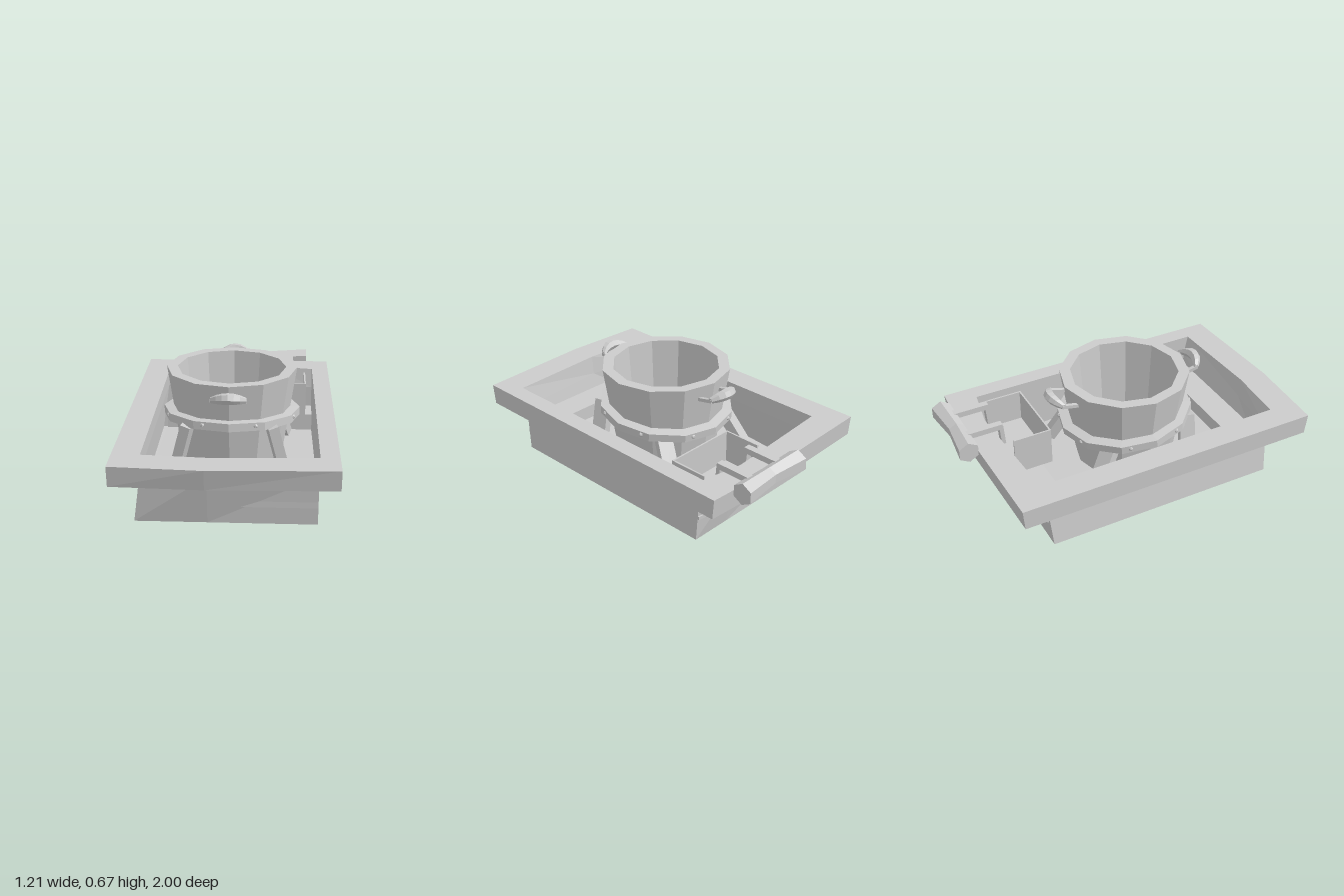
import * as THREE from 'three';

const material = new THREE.MeshStandardMaterial({ color: 0xcccccc, flatShading: true, side: THREE.DoubleSide });

function add(parent, name, geometry, x = 0, y = 0, z = 0) {
  const mesh = new THREE.Mesh(geometry, material);
  mesh.name = name;
  mesh.position.set(x, y, z);
  parent.add(mesh);
  return mesh;
}

// Box given by its limits on each axis
function block(parent, name, [x0, x1], [y0, y1], [z0, z1]) {
  return add(parent, name, new THREE.BoxGeometry(x1 - x0, y1 - y0, z1 - z0),
    (x0 + x1) / 2, (y0 + y1) / 2, (z0 + z1) / 2);
}

// Skin between rings of equal point count; optional fan caps on both ends
function loft(rings, capStart = false, capEnd = false) {
  const n = rings[0].length;
  const pos = rings.flat(2);
  const index = [];
  for (let r = 0; r < rings.length - 1; r++) {
    for (let i = 0; i < n; i++) {
      const a = r * n + i, b = r * n + (i + 1) % n;
      index.push(a, a + n, b, b, a + n, b + n);
    }
  }
  const last = (rings.length - 1) * n;
  for (let i = 1; i < n - 1; i++) {
    if (capStart) index.push(0, i, i + 1);
    if (capEnd) index.push(last, last + i + 1, last + i);
  }
  const g = new THREE.BufferGeometry();
  g.setAttribute('position', new THREE.Float32BufferAttribute(pos, 3));
  g.setIndex(index);
  const flat = g.toNonIndexed();
  flat.computeVertexNormals();
  return flat;
}

// Rectangular outline whose front and back edges bow out at one point
function outline(y, x0, x1, back, backMid, front, frontMid) {
  return [[x0, y, back], [0.25, y, backMid], [x1, y, back],
    [x1, y, front], [-0.1, y, frontMid], [x0, y, front]];
}

// Box bar between two points
function bar(parent, name, from, to, width, depth) {
  const a = new THREE.Vector3(...from), b = new THREE.Vector3(...to);
  const mesh = add(parent, name, new THREE.BoxGeometry(width, depth, a.distanceTo(b)));
  mesh.position.copy(a).lerp(b, 0.5);
  mesh.lookAt(b);
}

// Curved grip with two prongs, bulging toward +z
function sideHandle() {
  const handle = new THREE.Group();
  const rings = [];
  for (let i = 0; i <= 6; i++) {
    const t = i / 6 * 2 - 1;
    const r = 0.016 + 0.017 * (1 - t * t);
    const ring = [];
    for (let k = 0; k < 6; k++) {
      const a = k * Math.PI / 3;
      ring.push([t * 0.1, 0.63 - 0.022 * t * t + r * Math.sin(a), 0.48 - 0.04 * t * t + r * Math.cos(a)]);
    }
    rings.push(ring);
  }
  add(handle, 'handleGrip', loft(rings, true, true));
  for (const s of [-1, 1]) {
    bar(handle, 'handleProng', [s * 0.085, 0.58, 0.34], [s * 0.092, 0.607, 0.45], 0.022, 0.02);
  }
  return handle;
}

export function createModel() {
  const model = new THREE.Group();
  model.name = 'potInBasin';

  // Rim: outer skirt, flat top
  const hole = outline(0.41, -0.45, 0.5, -0.705, -0.75, 0.805, 0.83);
  add(model, 'rim', loft([
    outline(0.29, -0.605, 0.605, -0.865, -0.885, 0.955, 0.975),
    outline(0.41, -0.605, 0.605, -0.875, -0.895, 0.97, 1.0),
    hole,
  ]));

  // Tub shell, closed at the bottom
  add(model, 'tub', loft([
    outline(0, -0.5, 0.5, -0.66, -0.66, 0.765, 0.765),
    outline(0.29, -0.46, 0.5, -0.68, -0.72, 0.78, 0.82),
    hole,
  ], true));

  // Sloping sunken floor with a step at each end
  const floor = block(model, 'basinFloor', [-0.46, 0.5], [0.075, 0.095], [-0.5, 0.6]);
  floor.rotation.x = -0.073;
  block(model, 'frontLedge', [-0.455, 0.5], [0.1, 0.22], [0.6, 0.772]);
  block(model, 'backLedge', [-0.455, 0.5], [0.05, 0.155], [-0.66, -0.5]);
  add(model, 'backLedgePlate', loft([
    outline(0.14, -0.46, 0.5, -0.68, -0.71, -0.5, -0.5),
    outline(0.16, -0.46, 0.5, -0.68, -0.71, -0.5, -0.5),
  ], true, true));

  // Open compartment at the back
  const compartment = new THREE.Group();
  compartment.name = 'backCompartment';
  model.add(compartment);
  block(compartment, 'compartmentFloor', [0, 0.455], [0.16, 0.2], [-0.665, -0.44]);
  block(compartment, 'compartmentFront', [0, 0.455], [0.16, 0.395], [-0.445, -0.435]);
  for (const x of [0, 0.445]) {
    block(compartment, 'compartmentSide', [x, x + 0.01], [0.16, 0.395], [-0.67, -0.44]);
  }

  // Pot with thick wall
  const pot = new THREE.Group();
  pot.name = 'pot';
  pot.position.z = 0.05;
  model.add(pot);
  const lathe = (pts) => new THREE.LatheGeometry(pts.map(p => new THREE.Vector2(...p)), 12);
  add(pot, 'potBody', lathe([[0, 0.1], [0.3, 0.1], [0.385, 0.665], [0.32, 0.665], [0.275, 0.13], [0, 0.13]]));

  // Slightly tilted collar with studs
  const collar = new THREE.Group();
  collar.name = 'collar';
  collar.position.y = 0.398;
  collar.rotation.x = -0.085;
  pot.add(collar);
  add(collar, 'collarRing', lathe([[0.32, -0.027], [0.405, -0.027], [0.405, 0.02], [0.345, 0.027], [0.32, -0.027]]));
  for (let i = 0; i < 8; i++) {
    const a = (i + 0.5) * Math.PI / 4;
    add(collar, 'stud', new THREE.IcosahedronGeometry(0.014), 0.393 * Math.sin(a), 0, 0.393 * Math.cos(a));
  }

  // Splayed legs
  for (const sx of [-1, 1]) {
    for (const sz of [-1, 1]) {
      const at = (r, y) => [sx * r * 0.71, y, sz * r * 0.71];
      bar(pot, 'leg', at(0.34, 0.4), at(0.45, 0.1), 0.09, 0.06);
    }
  }

  // Pot handles, front and back
  for (const turn of [0, Math.PI]) {
    const handle = sideHandle();
    handle.name = turn ? 'backPotHandle' : 'frontPotHandle';
    handle.rotation.y = turn;
    pot.add(handle);
  }

  // Six-sided carrying bar, narrower in the middle
  const rings = [[0, 0.065, -0.942], [0.23, 0.052, -0.93], [0.465, 0.065, -0.942]].map(([x, r, z]) =>
    Array.from({ length: 6 }, (_, k) => {
      const a = k * Math.PI / 3;
      return [x, 0.412 + r * Math.cos(a), z + r * Math.sin(a)];
    }));
  add(model, 'carryingBar', loft(rings, true, true));

  // Straps hooking the bar over the rim
  for (const x of [0.13, 0.355]) {
    bar(model, 'strapTop', [x, 0.435, -0.92], [x, 0.435, -0.69], 0.04, 0.035);
    bar(model, 'strapDrop', [x, 0.445, -0.7], [x, 0.31, -0.69], 0.04, 0.025);
  }
  return model;
}
